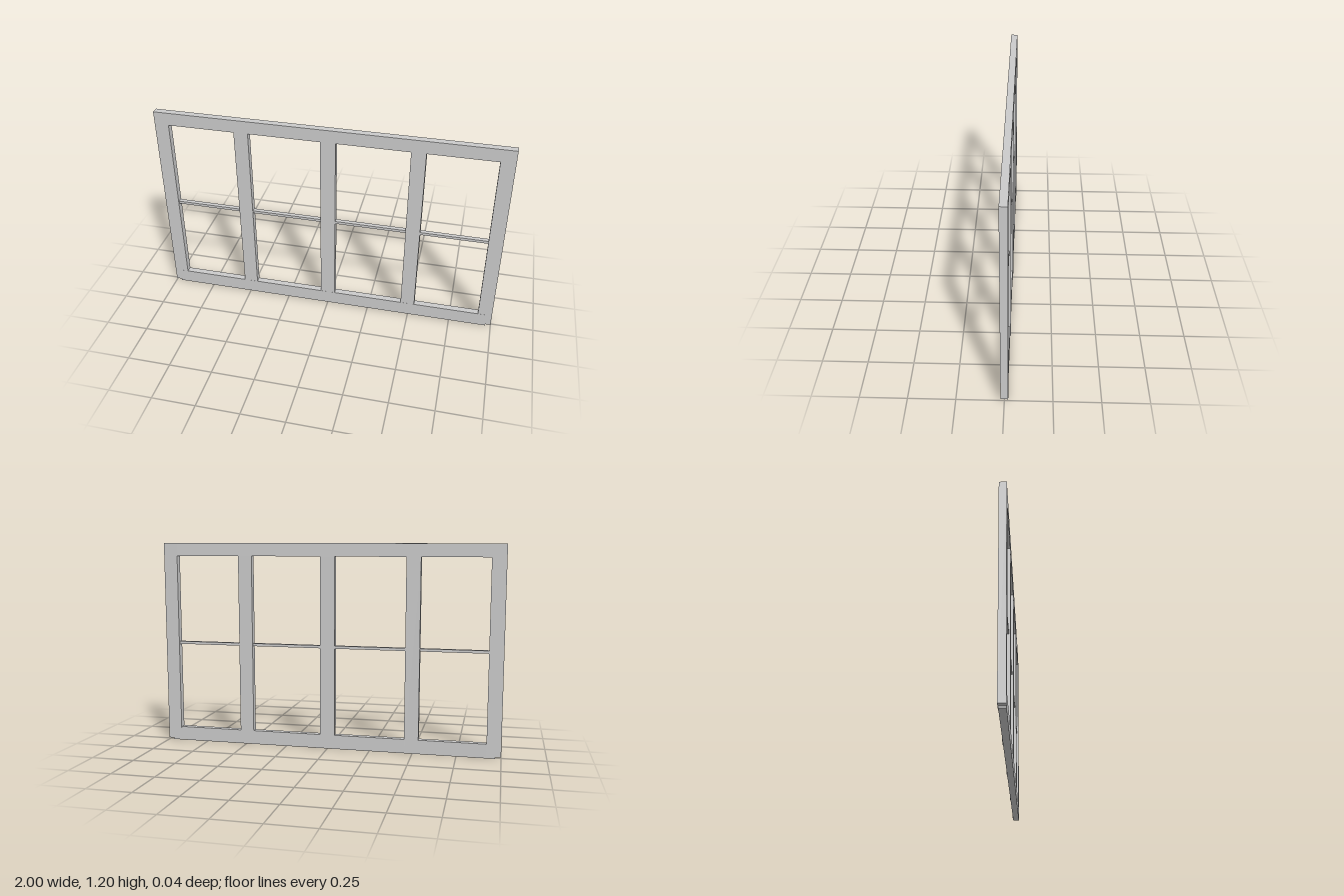
import * as THREE from 'three';

export function createModel() {
  const group = new THREE.Group();
  const material = new THREE.MeshStandardMaterial({ color: 0xcccccc, flatShading: true });

  // Box given by its extents on each axis
  const bar = (name, [x0, x1], [y0, y1], [z0, z1]) => {
    const mesh = new THREE.Mesh(new THREE.BoxGeometry(x1 - x0, y1 - y0, z1 - z0), material);
    mesh.position.set((x0 + x1) / 2, (y0 + y1) / 2, (z0 + z1) / 2);
    mesh.name = name;
    group.add(mesh);
  };

  const depth = [-0.02, 0.02];
  const posts = [[-1, -0.918], [-0.535, -0.453], [-0.043, 0.043], [0.453, 0.535], [0.918, 1]];

  // Uprights: the outer pair reach the top, the inner ones stop under the top rail
  posts.forEach((x, i) => {
    const outer = i === 0 || i === posts.length - 1;
    bar(outer ? 'sidePost' : 'innerPost', x, [0.01, outer ? 1.2 : 1.125], [-0.02, outer ? 0.02 : 0.0197]);
  });

  // Top rail between the side posts
  bar('topRail', [posts[0][1], posts[4][0]], [1.125, 1.2], depth);

  // Bottom rail: drops just below the posts and is slightly recessed at the back
  bar('bottomRail', [-0.968, 0.968], [0, 0.082], [-0.017, 0.0203]);

  // Thin glazing bar across each opening
  for (let i = 0; i < posts.length - 1; i++) {
    bar('glazingBar', [posts[i][1], posts[i + 1][0]], [0.595, 0.611], [-0.0125, 0.0125]);
  }
  return group;
}
